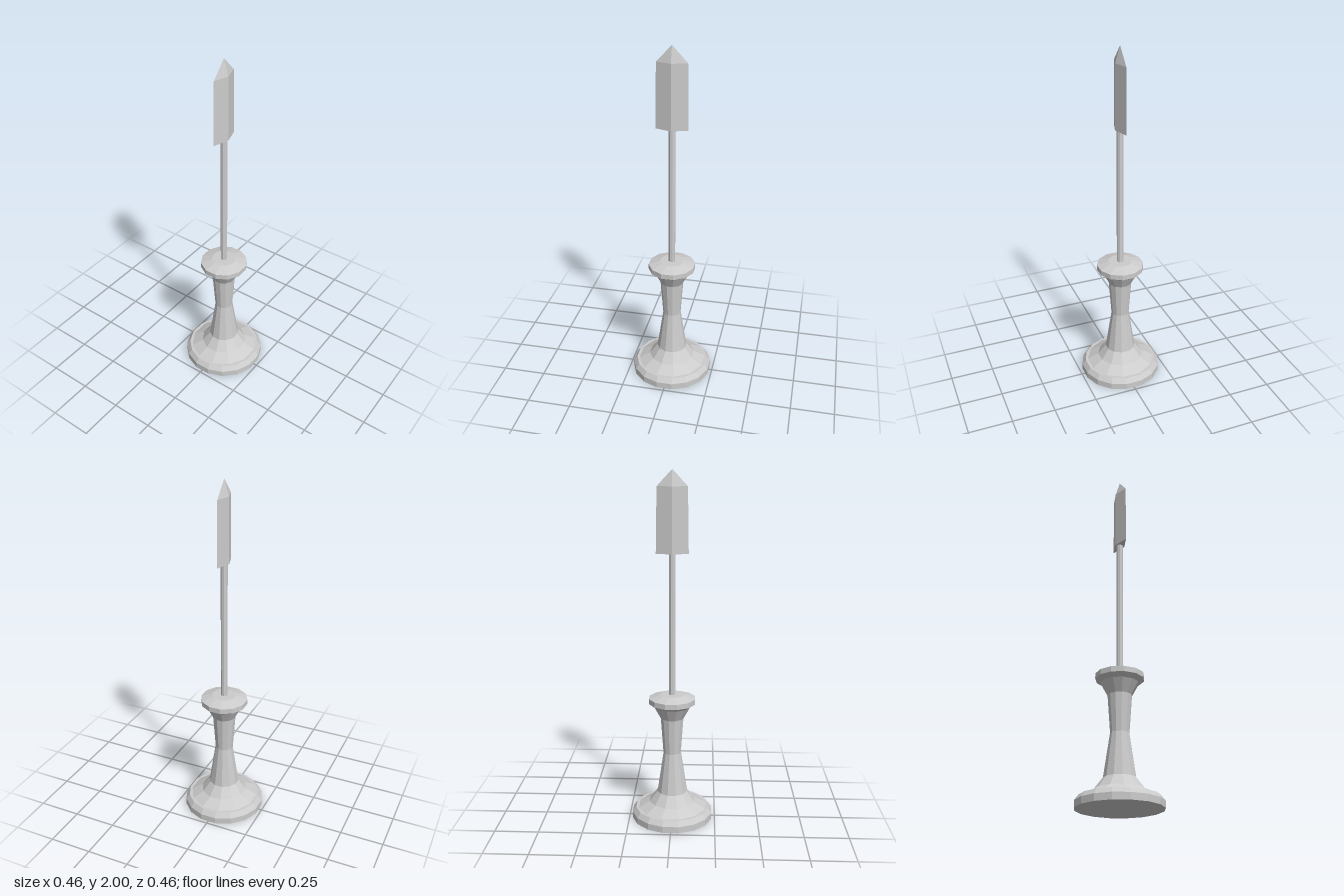
import * as THREE from 'three';

const grey = new THREE.MeshStandardMaterial({ color: 0xcccccc });
grey.name = 'paleGrey';

// Faceted solid of revolution; profile runs bottom to top as [radius, y]
function turned(name, profile, sides, phase) {
  const points = profile.map(([r, y]) => new THREE.Vector2(r, y));
  const geometry = new THREE.LatheGeometry(points, sides, phase).toNonIndexed();
  geometry.computeVertexNormals();
  const mesh = new THREE.Mesh(geometry, grey);
  mesh.name = name;
  return mesh;
}

export function createModel() {
  const model = new THREE.Group();
  model.name = 'bladeOnStand';

  // Round foot with a bevelled rim
  model.add(turned('foot', [
    [0, 0], [0.235, 0], [0.235, 0.037], [0.214, 0.065], [0, 0.065],
  ], 16, Math.PI / 16));

  // Waisted column flaring out to the foot and to the collar
  model.add(turned('column', [
    [0.2, 0.065], [0.135, 0.1], [0.088, 0.16], [0.052, 0.4],
    [0.067, 0.61], [0.105, 0.68], [0.135, 0.7],
    [0.135, 0.73], [0.07, 0.75], [0, 0.75],
  ], 12, Math.PI / 12));

  // Thin shaft
  model.add(turned('shaft', [[0.019, 0.745], [0.019, 1.56]], 8, Math.PI / 8));

  // Diamond-section blade, flattened front to back
  const blade = turned('blade', [
    [0, 1.55], [0.09, 1.55], [0.084, 1.91], [0, 2],
  ], 4, 0);
  blade.geometry.scale(1, 1, 0.32);
  blade.geometry.computeVertexNormals();
  model.add(blade);

  return model;
}
